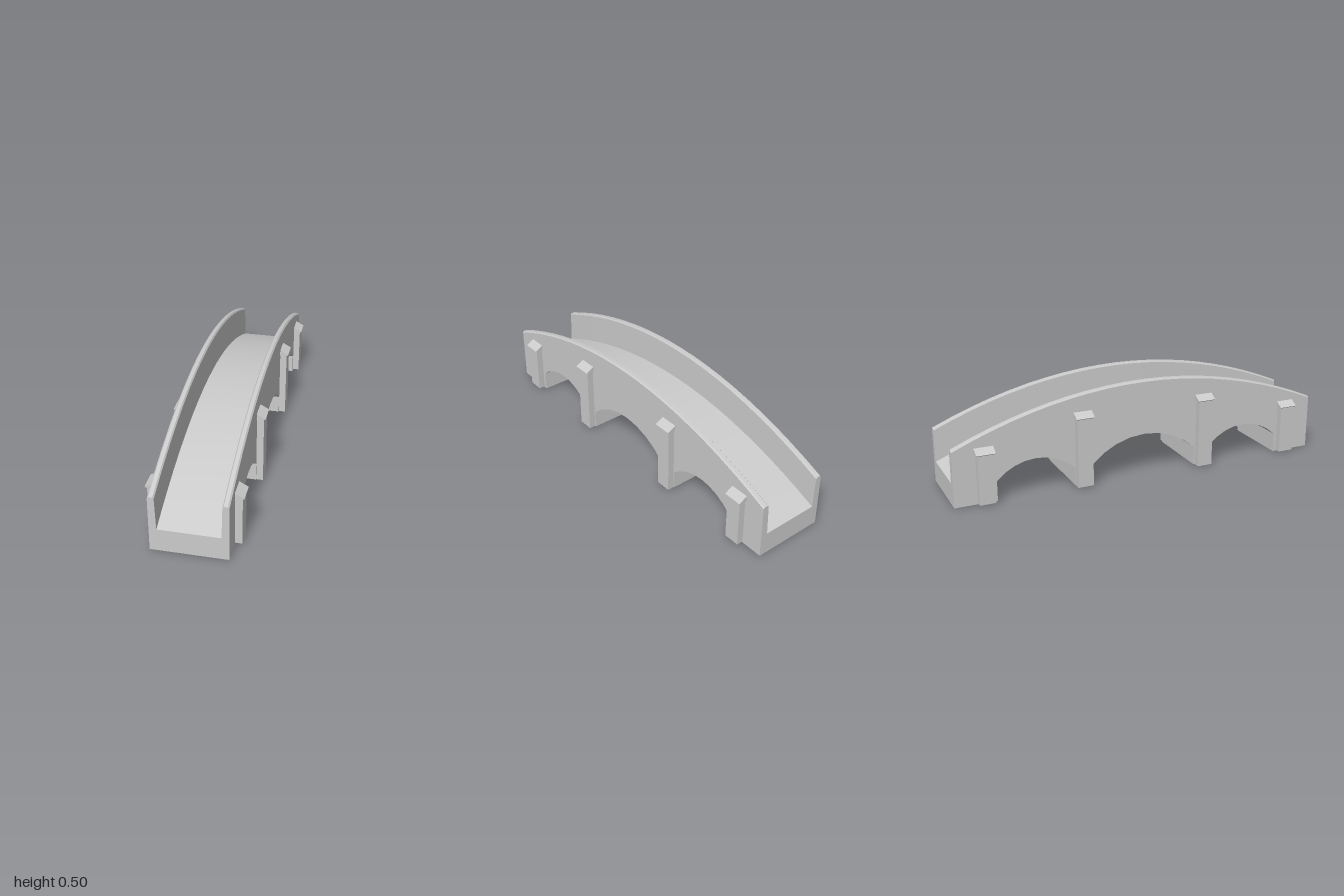
import * as THREE from 'three';
import { toCreasedNormals } from 'three/addons/utils/BufferGeometryUtils.js';

const HALF_LENGTH = 0.984, HALF_WIDTH = 0.182, YAW = 0.221;
const material = new THREE.MeshStandardMaterial({ color: 0xcccccc });

const wallTop = z => 0.5 - 0.215 * (z / HALF_LENGTH) ** 2;
const deckTop = z => 0.33 - 0.215 * (z / HALF_LENGTH) ** 2;

// Joins convex cross-sections { z, points: [x, y] (anticlockwise seen from +z) } and closes both ends.
function loft(sections) {
  const pos = [];
  const put = (i, j) => {
    const s = sections[i], p = s.points[j % s.points.length];
    pos.push(p[0], p[1], s.z);
  };
  const n = sections[0].points.length, last = sections.length - 1;
  for (let i = 0; i < last; i++) {
    for (let j = 0; j < n; j++) {
      put(i, j); put(i, j + 1); put(i + 1, j + 1);
      put(i, j); put(i + 1, j + 1); put(i + 1, j);
    }
  }
  for (let j = 1; j < n - 1; j++) {
    put(last, 0); put(last, j); put(last, j + 1);
    put(0, 0); put(0, j + 1); put(0, j);
  }
  const g = new THREE.BufferGeometry();
  g.setAttribute('position', new THREE.Float32BufferAttribute(pos, 3));
  return toCreasedNormals(g, 0.4);
}

// Mirrors a section to the other side while keeping its winding.
const onSide = (side, points) =>
  side > 0 ? points : points.map(([x, y]) => [-x, y]).reverse();

function addMesh(parent, name, geometry) {
  const mesh = new THREE.Mesh(geometry, material);
  mesh.name = name;
  parent.add(mesh);
}

// Points of a round arch, from its low z end to its high z end
function archPoints(centre, half, spring, crown, segments = 8) {
  const rise = crown - spring;
  const radius = (half * half + rise * rise) / (2 * rise);
  const sweep = Math.asin(half / radius);
  return Array.from({ length: segments + 1 }, (_, i) => {
    const a = sweep * (2 * i / segments - 1);
    return [centre + radius * Math.sin(a), crown - radius * (1 - Math.cos(a))];
  });
}

// Solid body: humped deck above, three arches below
function bodyGeometry() {
  const L = HALF_LENGTH, pierFoot = 0.006;
  const outline = [[-L, 0], [-0.773, 0]];
  outline.push(...archPoints(-0.574, 0.199, 0.1, 0.185));
  outline.push([-0.375, pierFoot], [-0.285, pierFoot]);
  outline.push(...archPoints(0, 0.285, 0.1, 0.22));
  outline.push([0.285, pierFoot], [0.375, pierFoot]);
  outline.push(...archPoints(0.574, 0.199, 0.1, 0.185));
  outline.push([0.773, 0], [L, 0]);
  for (let i = 0; i <= 20; i++) {
    const z = L * (1 - i / 10);
    outline.push([z, deckTop(z)]);
  }
  const shape = new THREE.Shape(outline.map(([z, y]) => new THREE.Vector2(z, y)));
  const g = new THREE.ExtrudeGeometry(shape, { depth: 2 * HALF_WIDTH, bevelEnabled: false });
  g.rotateY(-Math.PI / 2).translate(HALF_WIDTH, 0, 0);
  return toCreasedNormals(g, 0.2);
}

// Parapet with chamfered top and slightly sloping inner face
function parapetGeometry(side) {
  const sections = [];
  for (let i = 0; i <= 20; i++) {
    const z = HALF_LENGTH * (i / 10 - 1), top = wallTop(z), base = deckTop(z);
    sections.push({
      z,
      points: onSide(side, [
        [HALF_WIDTH, base], [HALF_WIDTH, top - 0.008], [0.175, top],
        [0.157, top], [0.151, top - 0.008], [0.146, base],
      ]),
    });
  }
  return loft(sections);
}

function prism(side, z, width, points) {
  const p = onSide(side, points);
  return loft([{ z: z - width / 2, points: p }, { z: z + width / 2, points: p }]);
}

// Buttress: square shaft under a sloping cap
function buttress(side, z, height) {
  const group = new THREE.Group();
  group.name = 'buttress';
  const inner = 0.17, face = HALF_WIDTH + 0.034, lip = HALF_WIDTH + 0.043;
  const eaves = height - 0.03;
  addMesh(group, 'buttressShaft', prism(side, z, 0.08,
    [[inner, 0.006], [face, 0.006], [face, eaves], [inner, eaves]]));
  addMesh(group, 'buttressCap', prism(side, z, 0.094,
    [[inner, eaves], [face, eaves], [lip, eaves + 0.006], [HALF_WIDTH, height], [inner, height]]));
  return group;
}

export function createModel() {
  const model = new THREE.Group();
  model.name = 'archBridge';
  addMesh(model, 'bridgeBody', bodyGeometry());
  for (const side of [1, -1]) {
    addMesh(model, side > 0 ? 'leftParapet' : 'rightParapet', parapetGeometry(side));
    for (const end of [1, -1]) {
      model.add(buttress(side, end * 0.83, 0.282));
      model.add(buttress(side, end * 0.332, 0.386));
    }
  }
  // The bridge stands at a slight angle
  model.rotation.y = YAW;
  return model;
}
